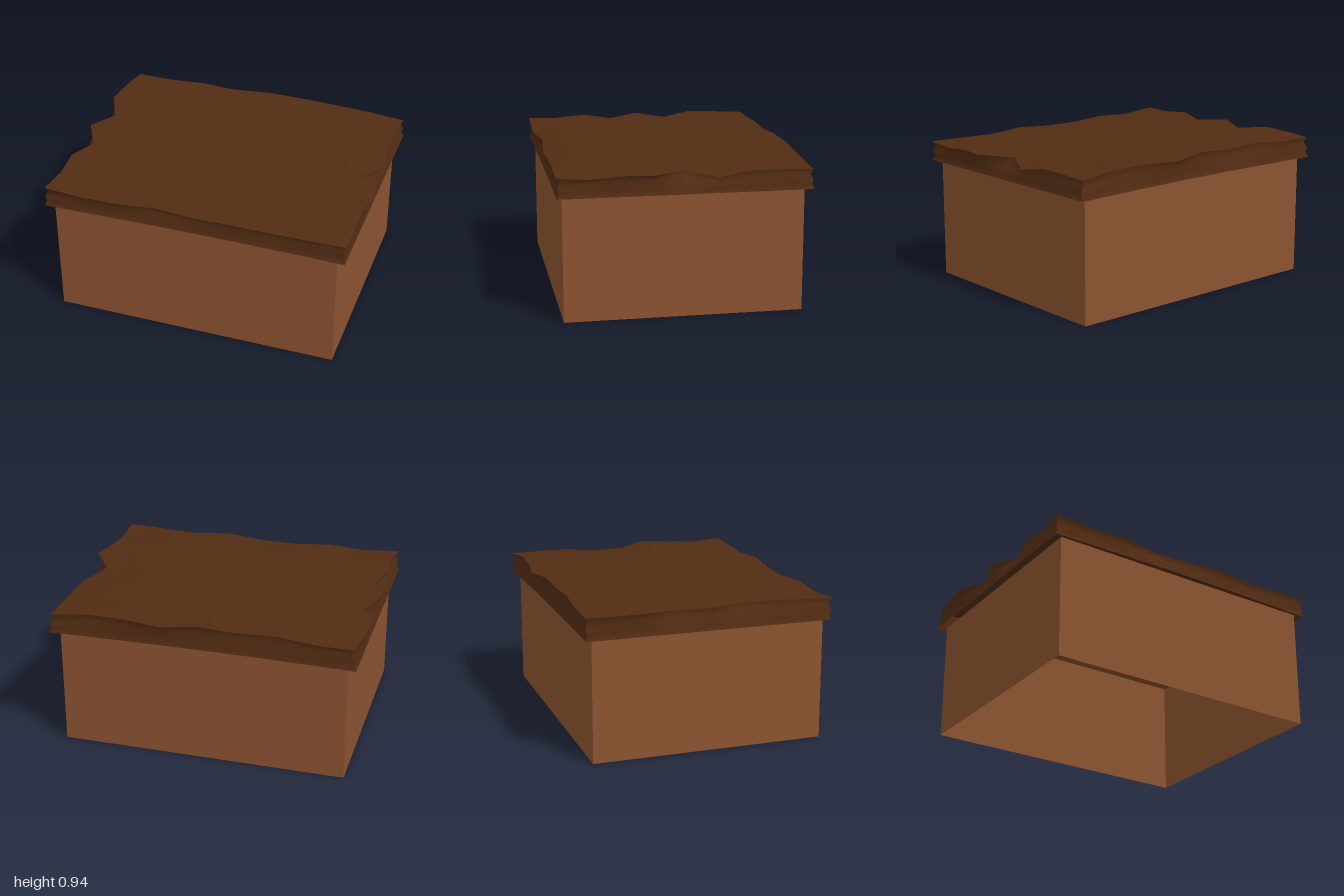
import * as THREE from 'three';

const N = 8; // lid grid divisions per side

// ragged outline of the lid top, listed from -z to +z or from -x to +x
const leftX = [-0.96, -0.99, -1.0, -0.91, -1.0, -0.9, -0.96, -0.95, -0.97];
const rightX = [0.95, 0.94, 0.94, 0.96, 0.86, 1.0, 0.96, 0.96, 0.96];
const backZ = [-0.775, -0.77, -0.76, -0.76, -0.77, -0.8, -0.77, -0.76, -0.77];
const frontZ = [0.78, 0.78, 0.79, 0.75, 0.77, 0.785, 0.77, 0.775, 0.78];
// matching edge heights
const leftY = [0.91, 0.915, 0.92, 0.9, 0.92, 0.905, 0.925, 0.91, 0.91];
const rightY = [0.895, 0.9, 0.9, 0.87, 0.9, 0.905, 0.9, 0.885, 0.9];
const backY = [0.91, 0.91, 0.93, 0.92, 0.935, 0.915, 0.925, 0.92, 0.895];
const frontY = [0.91, 0.89, 0.9, 0.895, 0.89, 0.905, 0.89, 0.895, 0.9];

// top surface vertex at grid column i, row j
function topPoint(i, j) {
  let x = -0.97 + (1.93 * i) / N;
  let z = -0.775 + (1.555 * j) / N;
  let y = 0.916 + 0.007 * Math.sin(i * 2.3 + 1) + 0.009 * Math.cos(j * 3.1 + i * 0.4);
  if (j === 0) { z = backZ[i]; y = backY[i]; }
  if (j === N) { z = frontZ[i]; y = frontY[i]; }
  if (i === 0) { x = leftX[j]; y = leftY[j]; }
  if (i === N) { x = rightX[j]; y = rightY[j]; }
  return [x, y, z];
}

// grid of points -> smooth surface
function surface(cols, rows, fn) {
  const pos = [], index = [];
  for (let j = 0; j <= rows; j++) {
    for (let i = 0; i <= cols; i++) pos.push(...fn(i, j));
  }
  for (let j = 0; j < rows; j++) {
    for (let i = 0; i < cols; i++) {
      const a = j * (cols + 1) + i, b = a + 1, c = a + cols + 1, d = c + 1;
      index.push(a, c, b, b, c, d);
    }
  }
  const g = new THREE.BufferGeometry();
  g.setAttribute('position', new THREE.Float32BufferAttribute(pos, 3));
  g.setIndex(index);
  g.computeVertexNormals();
  return g;
}

// one side of the rim: drops from the top edge to the lower edge with a worn waist
function rimSide(cell, axis, sign) {
  return surface(N, 4, (k, r) => {
    const [i, j] = cell(k);
    const [x, y, z] = topPoint(i, j);
    const t = r / 4;
    const low = [
      axis === 'x' ? (sign > 0 ? 0.96 : -0.98) : -0.98 + (1.94 * i) / N,
      0.775 + (axis === 'z' ? 0.01 * Math.sin((Math.PI * k) / N) : 0),
      axis === 'z' ? sign * 0.778 : -0.775 + (1.553 * j) / N,
    ];
    const waist = [0, 0.016, 0.004, 0.012, 0][r];
    const ease = Math.min(1, t * 1.5);
    const p = [x + (low[0] - x) * ease, y + (low[1] - y) * t, z + (low[2] - z) * ease];
    // corners move in on both axes so neighbouring sides meet
    if (i === 0 || i === N) p[0] -= (i === 0 ? -1 : 1) * waist;
    if (j === 0 || j === N) p[2] -= (j === 0 ? -1 : 1) * waist;
    return p;
  });
}

export function createModel() {
  const model = new THREE.Group();
  const wallMat = new THREE.MeshStandardMaterial({ color: 0x8b5330, side: THREE.DoubleSide });
  const lidMat = new THREE.MeshStandardMaterial({ color: 0x522c13, side: THREE.DoubleSide });

  const add = (parent, name, geometry, material) => {
    const m = new THREE.Mesh(geometry, material);
    m.name = name;
    parent.add(m);
    return m;
  };

  // box: four thin walls, open above and below
  const box = new THREE.Group();
  box.name = 'box';
  const W = 1.83, D = 1.475, H = 0.785, cx = -0.01, cz = 0.007;
  const walls = [
    ['frontWall', W, 0, D / 2, 0],
    ['leftWall', D, W / 2, 0, Math.PI / 2],
    ['backWall', W, 0, -D / 2, Math.PI],
    ['rightWall', D, -W / 2, 0, -Math.PI / 2],
  ];
  for (const [name, width, x, z, turn] of walls) {
    const wall = add(box, name, new THREE.PlaneGeometry(width, H), wallMat);
    wall.position.set(cx + x, H / 2, cz + z);
    wall.rotation.y = turn;
  }
  model.add(box);

  // lid: warped top sheet with a ragged rim, hollow underneath
  const lid = new THREE.Group();
  lid.name = 'lid';
  add(lid, 'lidTop', surface(N, N, topPoint), lidMat);
  add(lid, 'frontRim', rimSide((k) => [k, N], 'z', 1), lidMat);
  add(lid, 'backRim', rimSide((k) => [N - k, 0], 'z', -1), lidMat);
  add(lid, 'leftRim', rimSide((k) => [N, N - k], 'x', 1), lidMat);
  add(lid, 'rightRim', rimSide((k) => [0, k], 'x', -1), lidMat);
  model.add(lid);

  return model;
}
